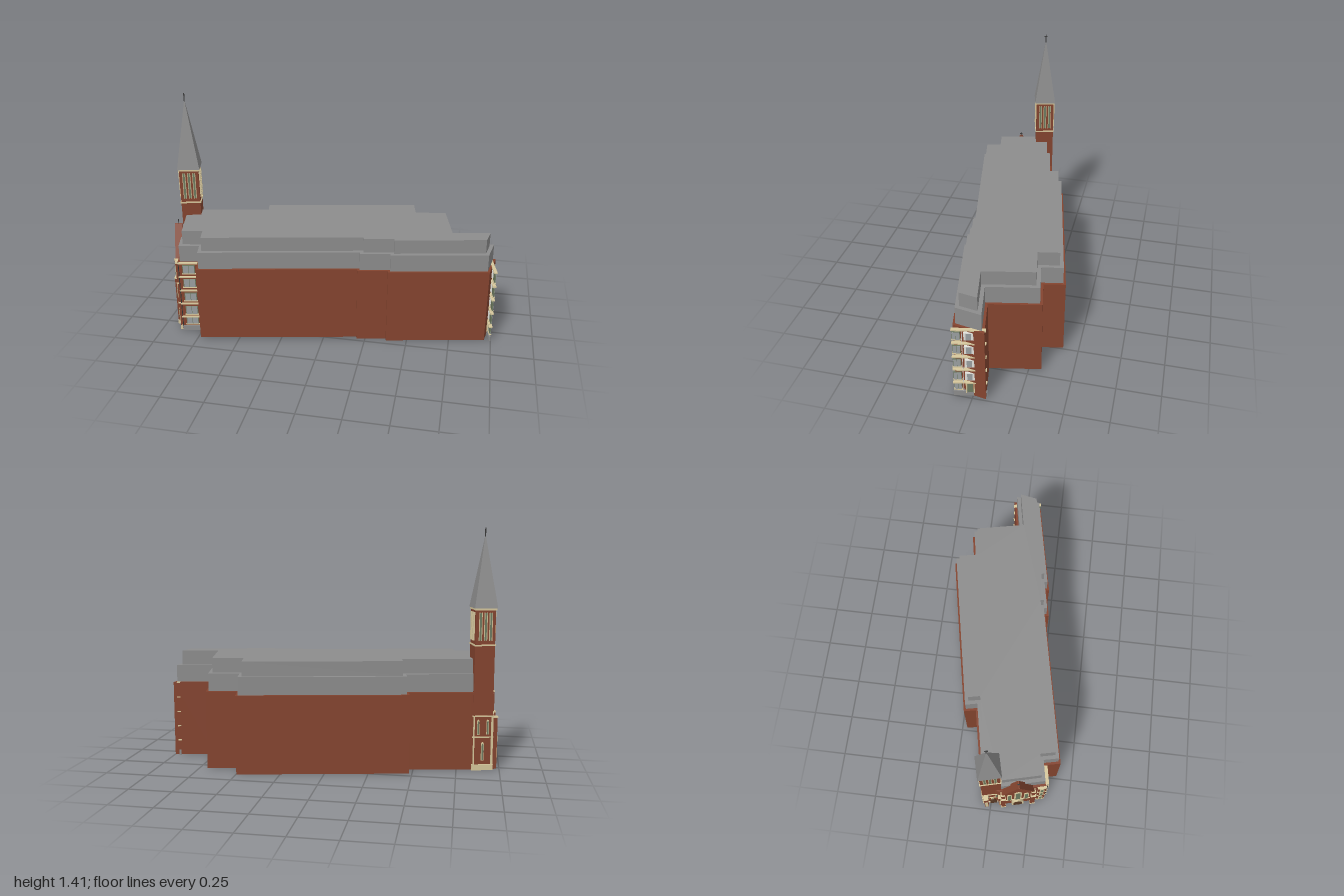
import * as THREE from 'three';

const mat = (name, color) => Object.assign(new THREE.MeshStandardMaterial({ color }), { name });

export function createModel() {
  const brick = mat('brick', 0x84442f), grey = mat('roof grey', 0x8c8c8c), cream = mat('cream stone', 0xd6c79c);
  const glass = mat('window grey', 0x9a9fa0), green = mat('louver green', 0x6d7a60);
  const white = mat('white trim', 0xe2e2dc), dark = mat('dark metal', 0x3a3a3a), door = mat('door brown', 0x5a3a26);
  const root = new THREE.Group();
  root.name = 'church block';

  const add = (parent, name, geo, material, x = 0, y = 0, z = 0) => {
    const m = new THREE.Mesh(geo, material);
    m.name = name;
    m.position.set(x, y, z);
    parent.add(m);
    return m;
  };
  const box = (parent, name, material, w, h, d, x, y, z) =>
    add(parent, name, new THREE.BoxGeometry(w, h, d), material, x, y, z);
  // group lying on a wall: local x runs along it, local z points outward
  const facade = (name, x, z, nx, nz, parent = root) => {
    const g = new THREE.Group();
    g.name = name;
    g.position.set(x, 0, z);
    g.rotation.y = Math.atan2(nx, nz);
    parent.add(g);
    return g;
  };

  // footprint as [x, z], front edge first
  const plan = [[-0.94, 0.06], [-0.872, 0.335], [-0.752, 0.312], [-0.732, 0.402], [0.196, 0.216], [0.2, 0.237],
    [0.374, 0.202], [0.378, 0.221], [0.96, 0.105], [0.993, -0.075], [0.757, -0.03], [0.698, -0.32],
    [0.517, -0.287], [0.494, -0.41], [-0.483, -0.218], [-0.468, -0.146], [-0.83, -0.073], [-0.925, -0.05]]
    .map(([x, z]) => new THREE.Vector2(x, -z));
  const inset = (d) => plan.map((p, i) => {
    const a = plan[(i + plan.length - 1) % plan.length], b = plan[(i + 1) % plan.length];
    const e = p.clone().sub(a).normalize(), f = b.clone().sub(p).normalize();
    const n1 = new THREE.Vector2(-e.y, e.x), n2 = new THREE.Vector2(-f.y, f.x);
    return n1.clone().add(n2).multiplyScalar(d / (1 + n1.dot(n2))).add(p);
  });
  const tier = (name, d, y0, y1, material) => {
    const geo = new THREE.ExtrudeGeometry(new THREE.Shape(inset(d)), { depth: y1 - y0, bevelEnabled: false });
    add(root, name, geo.rotateX(-Math.PI / 2), material, 0, y0, 0);
  };
  tier('brickWalls', 0, 0.005, 0.467, brick);
  tier('lowerRoof', 0.014, 0.467, 0.572, grey);
  tier('upperRoof', 0.036, 0.572, 0.658, grey);

  // sash window with frame, glazing bar and sill
  const sash = (g, x, y, w, h, z = 0) => {
    box(g, 'windowFrame', green, w, h, 0.006, x, y, z + 0.002);
    for (const s of [-1, 1]) box(g, 'windowPane', glass, w * 0.42, h * 0.9, 0.004, x + s * w * 0.23, y, z + 0.005);
    box(g, 'windowSill', cream, w * 1.12, 0.005, 0.014, x, y - h / 2, z + 0.002);
  };
  const bands = [0.098, 0.19, 0.28, 0.373, 0.464];
  const rows = [0.07, 0.143, 0.236, 0.33, 0.423];
  const bandSet = (g, w) => {
    box(g, 'stoneBase', grey, w, 0.033, 0.012, 0, 0.0185, 0.001);
    bands.forEach((y) => box(g, 'stoneBand', cream, w, 0.007, 0.02, 0, y, 0.002));
  };

  // east end front
  const east = facade('eastFront', 0.9765, 0.015, 0.984, -0.18);
  bandSet(east, 0.184);
  rows.forEach((y, i) => {
    const h = i ? 0.054 : 0.046;
    for (const x of [-0.066, 0.06]) sash(east, x, y, 0.044, h);
    if (i) {
      box(east, 'bayWindow', white, 0.052, h * 0.9, 0.016, 0, y, 0.002);
      box(east, 'bayPane', glass, 0.028, h * 0.8, 0.004, 0, y, 0.009);
    }
  });
  box(east, 'eastDoor', green, 0.03, 0.06, 0.014, 0, 0.062, 0.002);
  for (const x of [-0.021, 0.021]) box(east, 'doorJamb', cream, 0.006, 0.065, 0.02, x, 0.06, 0.002);
  box(east, 'drainPipe', white, 0.003, 0.42, 0.008, -0.036, 0.25, 0.004);

  // short front bay beside the gable
  const bay = facade('frontBay', -0.812, 0.3235, 0.188, 0.982);
  bandSet(bay, 0.118);
  rows.forEach((y, i) => sash(bay, 0.004, y, 0.075, i ? 0.055 : 0.046));
  box(bay, 'cornerPipe', dark, 0.004, 0.46, 0.006, -0.056, 0.24, 0.004);

  // pointed arch plate standing on its base
  const arch = (parent, name, material, w, h, d, x, y, z) => {
    const s = new THREE.Shape();
    s.moveTo(-w / 2, 0).lineTo(w / 2, 0).lineTo(w / 2, h - w * 0.8);
    s.quadraticCurveTo(w / 2, h - w * 0.25, 0, h);
    s.quadraticCurveTo(-w / 2, h - w * 0.25, -w / 2, h - w * 0.8);
    add(parent, name, new THREE.ExtrudeGeometry(s, { depth: d, bevelEnabled: false, curveSegments: 5 }), material, x, y, z);
  };
  const lancet = (g, x, y, w, h, z = 0) => {
    arch(g, 'lancetFrame', cream, w, h, 0.005, x, y, z);
    arch(g, 'lancetPane', green, w * 0.6, h * 0.88, 0.003, x, y + h * 0.03, z + 0.004);
  };

  // west gable front
  const west = facade('westGable', -0.914, 0.165, -0.971, 0.24);
  const gable = new THREE.Shape();
  gable.moveTo(-0.1, 0.005).lineTo(0.1, 0.005).lineTo(0.1, 0.43).lineTo(0, 0.64).lineTo(-0.1, 0.43);
  add(west, 'gableWall', new THREE.ExtrudeGeometry(gable, { depth: 0.035, bevelEnabled: false }), brick, 0, 0, -0.02);
  const face = 0.015;
  for (const s of [-1, 1]) {
    const coping = box(west, 'gableCoping', brick, 0.012, 0.235, 0.045, s * 0.051, 0.538, 0);
    coping.rotation.z = s * Math.atan2(0.1, 0.21);
    // stepped buttress with stone caps
    box(west, 'buttress', brick, 0.028, 0.32, 0.04, s * 0.092, 0.165, face);
    box(west, 'buttressTop', brick, 0.022, 0.12, 0.024, s * 0.092, 0.385, face);
    box(west, 'buttressCap', cream, 0.032, 0.008, 0.044, s * 0.092, 0.325, face);
    box(west, 'buttressTopCap', cream, 0.026, 0.008, 0.028, s * 0.092, 0.448, face);
    box(west, 'buttressFoot', cream, 0.032, 0.03, 0.044, s * 0.092, 0.018, face);
    lancet(west, s * 0.052, 0.19, 0.03, 0.2, face);
  }
  lancet(west, 0, 0.19, 0.045, 0.27, face);
  box(west, 'gableBand', cream, 0.19, 0.008, 0.012, 0, 0.175, face);
  arch(west, 'portal', cream, 0.075, 0.15, 0.014, 0, 0.005, face);
  arch(west, 'portalDoor', door, 0.052, 0.128, 0.003, 0, 0.005, face + 0.013);
  box(west, 'finial', dark, 0.004, 0.035, 0.004, 0, 0.655, 0);
  box(west, 'finialArm', dark, 0.018, 0.004, 0.004, 0, 0.664, 0);

  // corner pier at the front end of the west side
  box(west, 'cornerPier', brick, 0.05, 0.46, 0.02, 0.145, 0.235, 0.002);
  box(west, 'pierFoot', cream, 0.054, 0.03, 0.024, 0.145, 0.018, 0.002);
  for (const y of [0.19, 0.325, 0.462]) box(west, 'pierBand', cream, 0.054, 0.008, 0.026, 0.145, y, 0.002);
  for (const y of [0.06, 0.22, 0.355]) lancet(west, 0.145, y, 0.026, 0.09, 0.012);

  // bell tower
  const tower = new THREE.Group();
  tower.name = 'bellTower';
  tower.position.set(-0.885, 0, -0.004);
  tower.rotation.y = 0.245;
  root.add(tower);
  const W = 0.116, H = W / 2;
  box(tower, 'towerShaft', brick, W, 0.95, W, 0, 0.48, 0);
  box(tower, 'towerFoot', cream, W + 0.012, 0.035, W + 0.012, 0, 0.0185, 0);
  for (const [y, h] of [[0.2, 0.007], [0.325, 0.007], [0.742, 0.008], [0.951, 0.012]])
    box(tower, 'towerBand', cream, W + 0.01, h, W + 0.01, 0, y, 0);
  for (let i = 0; i < 4; i++) {
    const side = facade('towerSide', Math.sin(i * Math.PI / 2) * H, Math.cos(i * Math.PI / 2) * H,
      Math.sin(i * Math.PI / 2), Math.cos(i * Math.PI / 2), tower);
    // belfry louvers between stone fins
    for (const x of [-0.03, 0, 0.03]) {
      box(side, 'louver', green, 0.012, 0.16, 0.006, x, 0.85, 0);
      for (const s of [-1, 1]) box(side, 'louverFin', cream, 0.003, 0.165, 0.014, x + s * 0.0075, 0.85, 0);
    }
    // narrow stair windows on the two outer sides
    if (i >= 2) {
      for (const x of [-0.028, 0.028]) lancet(side, x, 0.215, 0.014, 0.09);
      lancet(side, 0, 0.06, 0.016, 0.11);
      for (const x of [-0.053, 0.053]) box(side, 'cornerQuoin', cream, 0.008, 0.29, 0.01, x, 0.18, 0);
    }
  }
  // shallow porch on the tower's west side
  const porch = facade('towerPorch', -H, 0, -1, 0, tower);
  for (const x of [-0.04, 0.05]) {
    box(porch, 'porchPier', brick, 0.026, 0.31, 0.06, x, 0.16, 0);
    box(porch, 'porchPierCap', cream, 0.03, 0.008, 0.066, x, 0.317, 0);
    box(porch, 'porchPierFace', cream, 0.018, 0.17, 0.066, x, 0.12, 0);
  }
  arch(porch, 'porchDoor', door, 0.042, 0.13, 0.006, 0.005, 0.005, 0.006);

  // spire with a small cross
  const spire = new THREE.ConeGeometry(0.134 / Math.SQRT2, 0.42, 4, 1).toNonIndexed();
  spire.rotateY(Math.PI / 4).computeVertexNormals();
  add(tower, 'spire', spire, grey, 0, 1.166, 0);
  box(tower, 'crossPost', dark, 0.005, 0.05, 0.005, 0, 1.388, 0);
  box(tower, 'crossArm', dark, 0.005, 0.004, 0.02, 0, 1.402, 0);
  return root;
}
